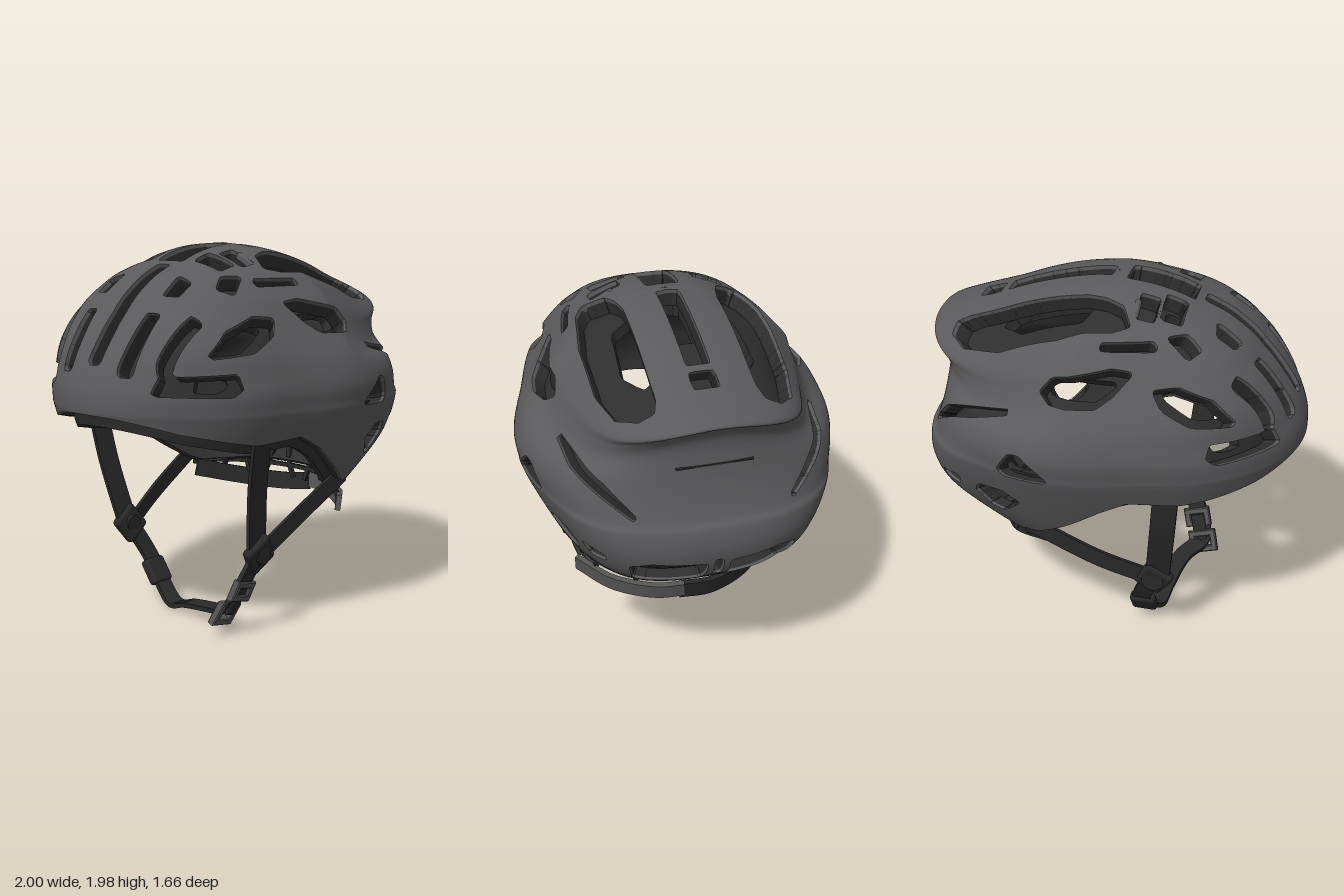
import * as THREE from 'three';
import { mergeVertices } from 'three/addons/utils/BufferGeometryUtils.js';
import { RoundedBoxGeometry } from 'three/addons/geometries/RoundedBoxGeometry.js';

const V = (x, y, z) => new THREE.Vector3(x, y, z);
const CENTRE = V(0.05, 1, 0);

// Horizontal contours from crown to rim: height, front x, back x, half width, middle x
const ROWS = [
  [2.0, 0, 0, 0, 0], [1.985, -0.17, 0.13, 0.17, 0], [1.95, -0.32, 0.3, 0.28, 0.02],
  [1.9, -0.44, 0.47, 0.39, 0.05], [1.84, -0.57, 0.63, 0.5, 0.08], [1.77, -0.67, 0.86, 0.57, 0.1],
  [1.725, -0.72, 0.96, 0.61, 0.1], [1.68, -0.76, 0.91, 0.64, 0.1], [1.6, -0.83, 0.87, 0.69, 0.1],
  [1.45, -0.935, 0.88, 0.79, 0.1], [1.32, -0.99, 0.91, 0.83, 0.1], [1.22, -1.0, 0.95, 0.82, 0.1],
  [1.17, -0.99, 0.985, 0.81, 0.1], [1.05, -0.96, 1.0, 0.76, 0.1], [0.92, -0.9, 0.96, 0.7, 0.1],
  [0.8, -0.82, 0.84, 0.64, 0.1], [0.66, -0.74, 0.66, 0.55, 0.1],
];
// Lower edge of the shell along x
const RIM = [[-1.1, 1.22], [-0.98, 1.19], [-0.8, 1.12], [-0.6, 1.07], [-0.45, 1.04], [-0.2, 1.06],
  [-0.05, 0.98], [0.1, 0.87], [0.3, 0.74], [0.4, 0.71], [0.75, 0.74], [1.1, 0.74]];

const rect = (a, b, c, d) => [[a, c], [b, c], [b, d], [a, d]];
// Vents drawn from the side (x, y)
const REAR_SIDE = [
  [[0.19, 1.2], [0.32, 1.31], [0.37, 1.3], [0.43, 1.21], [0.4, 1.19]],
  [[0.37, 0.98], [0.45, 1.03], [0.58, 1.02], [0.6, 0.98], [0.53, 0.89], [0.47, 0.88]],
];
const SIDE = [
  ...REAR_SIDE,
  [[-0.88, 1.32], [-0.85, 1.38], [-0.6, 1.39], [-0.59, 1.34], [-0.63, 1.31]],
  [[-0.68, 1.49], [-0.58, 1.59], [-0.42, 1.65], [-0.32, 1.64], [-0.36, 1.58], [-0.5, 1.51]],
  [[-0.18, 1.71], [-0.1, 1.72], [0.18, 1.66], [0.23, 1.6], [0.19, 1.57], [-0.04, 1.58], [-0.11, 1.63]],
  [[0.72, 1.03], [0.81, 1.01], [0.8, 0.99], [0.73, 0.98]],
  [[-0.28, 1.81], [-0.27, 1.82], [-0.04, 1.815], [-0.04, 1.81]],
];
// Vents drawn from the top (x, |z|)
const TOP = [
  rect(-0.93, -0.46, -0.03, 0.03), rect(-0.39, -0.07, -0.075, 0.075), rect(0.04, 0.57, -0.045, 0.045),
  rect(0.64, 0.72, -0.05, 0.05), rect(-0.37, -0.29, 0.16, 0.31), rect(-0.24, -0.17, 0.21, 0.34),
  [[-0.93, 0.17], [-0.76, 0.19], [-0.75, 0.24], [-0.91, 0.23]],
  [[-0.65, 0.21], [-0.55, 0.2], [-0.56, 0.27], [-0.63, 0.27]],
  [[-0.85, 0.35], [-0.68, 0.4], [-0.67, 0.44], [-0.83, 0.39]],
  [[-0.48, 0.4], [-0.42, 0.37], [-0.35, 0.41], [-0.44, 0.45]],
  [[-0.08, 0.31], [-0.13, 0.4], [-0.06, 0.44], [0.2, 0.48], [0.5, 0.47], [0.7, 0.42], [0.78, 0.34],
    [0.78, 0.28], [0.72, 0.26], [0.1, 0.26], [0, 0.28]],
];
// Vents drawn from the back (|z|, y)
const BACK = [
  [[0.07, 0.98], [0.33, 1.0], [0.41, 0.97], [0.37, 0.83], [0.08, 0.85]],
  [[0.4, 1.25], [0.63, 1.42], [0.65, 1.47], [0.52, 1.38]],
  rect(-0.008, 0.008, 0.9, 1.0),
];
// Openings that go through the inner foam
const FOAM_SIDE = [
  ...REAR_SIDE,
  [[-0.69, 1.32], [-0.67, 1.38], [-0.6, 1.38], [-0.59, 1.34], [-0.63, 1.32]],
  [[-0.63, 1.49], [-0.55, 1.55], [-0.42, 1.61], [-0.35, 1.59], [-0.5, 1.5]],
  [[-0.1, 1.63], [0.1, 1.64], [0.21, 1.62], [0.19, 1.57], [-0.03, 1.575]],
];
const FOAM_TOP = [
  rect(0.03, 0.33, -0.05, 0.05), rect(-0.78, -0.68, -0.05, 0.05), rect(-0.35, -0.29, 0.17, 0.28),
  [[0.08, 0.2], [0.5, 0.2], [0.53, 0.25], [0.42, 0.32], [0.13, 0.3]],
];

// Signed distance to a polygon with rounded corners, positive inside
function inside(poly, x, y, round = 0.015) {
  let d = Infinity, within = false;
  poly.forEach(([bx, by], i) => {
    const [ax, ay] = poly[(i + poly.length - 1) % poly.length];
    const ex = bx - ax, ey = by - ay;
    const t = THREE.MathUtils.clamp(((x - ax) * ex + (y - ay) * ey) / (ex * ex + ey * ey), 0, 1);
    d = Math.min(d, Math.hypot(x - ax - ex * t, y - ay - ey * t));
    if ((ay > y) !== (by > y) && x < ax + (ex * (y - ay)) / ey) within = !within;
  });
  return (within ? d : -d) + round;
}
const deepest = (polys, x, y) => Math.max(...polys.map(p => inside(p, x, y)));

function rimHeight(x) {
  const i = Math.max(1, RIM.findIndex(r => r[0] >= x));
  const [a, b] = [RIM[i - 1], RIM[i]];
  return a[1] + ((b[1] - a[1]) * (x - a[0])) / (b[0] - a[0]);
}

function ventField(p, side, top, back) {
  const z = Math.abs(p.z);
  let f = -1;
  if (z > 0.25) f = Math.max(f, deepest(side, p.x, p.y));
  if (p.y > 1.3) f = Math.max(f, deepest(top, p.x, z));
  if (p.x > 0.4) f = Math.max(f, deepest(back, z, p.y));
  return f;
}

// Point on the helmet: s runs crown to rim, a runs around
function surfacePoint(s, a) {
  const u = s * (ROWS.length - 1), i = Math.min(Math.floor(u), ROWS.length - 2), t = u - i;
  const row = k => ROWS[THREE.MathUtils.clamp(k, 0, ROWS.length - 1)];
  const [y, front, back, w, mid] = ROWS[0].map((_, c) => {
    const [p0, p1, p2, p3] = [-1, 0, 1, 2].map(k => row(i + k)[c]);
    return p1 + 0.5 * t * (p2 - p0 + t * (2 * p0 - 5 * p1 + 4 * p2 - p3 + t * (3 * (p1 - p2) + p3 - p0)));
  });
  // the brow is round at the rim and blunter higher up
  const c = Math.cos(a), n = c > 0 ? 2.6 : 2 + 0.6 * THREE.MathUtils.smoothstep(y, 1.35, 1.65);
  const r = (Math.abs(c) ** n + Math.abs(Math.sin(a)) ** n) ** (-1 / n);
  // the rear wing edge drops towards the sides
  const drop = c > 0 ? 0.54 * c * (1 - c) * Math.exp(-(((y - 1.64) / 0.19) ** 2)) : 0;
  const x = mid + r * c * (c > 0 ? back - mid : mid - front);
  // flanks pull in ahead of and behind the widest point
  const waist = 1 - 0.05 * Math.exp(-(((Math.abs(x - 0.15) - 0.42) / 0.25) ** 2));
  return V(x, y - drop, w * r * Math.sin(a) * waist);
}
const shrink = (p, k) => p.clone().sub(CENTRE).multiplyScalar(k).add(CENTRE);

function toGeometry(points) {
  const g = new THREE.BufferGeometry();
  g.setAttribute('position', new THREE.Float32BufferAttribute(points.flatMap(p => [p.x, p.y, p.z]), 3));
  return g;
}
function smooth(points) {
  const g = mergeVertices(toGeometry(points), 1e-4);
  g.computeVertexNormals();
  return g;
}

// A thick skin trimmed where field > 0: outer face, inner face, and cut edges in two depths
function thickLayer(nu, nv, kOut, kLip, kIn, field) {
  const outer = [], inner = [], lip = [], edges = [], grid = [];
  for (let j = 0; j <= nv; j++) for (let i = 0; i < nu; i++) {
    const p = surfacePoint(j / nv, (i / nu) * Math.PI * 2);
    grid.push({ p, f: field(p) });
  }
  const wall = (list, cut, k0, k1) => {
    const [a, b] = cut.map(p => shrink(p, k0)), [c, d] = cut.map(p => shrink(p, k1));
    list.push(a, b, d, a, d, c);
  };
  const triangle = (...tri) => {
    const kept = [], cut = [];
    tri.forEach((A, e) => {
      const B = tri[(e + 1) % 3];
      if (A.f < 0) kept.push(A.p);
      if ((A.f < 0) !== (B.f < 0)) {
        const m = A.p.clone().lerp(B.p, A.f / (A.f - B.f));
        kept.push(m);
        cut.push(m);
      }
    });
    for (let k = 2; k < kept.length; k++) {
      const t = [kept[0], kept[k - 1], kept[k]];
      outer.push(...t.map(p => shrink(p, kOut)));
      inner.push(...t.reverse().map(p => shrink(p, kIn)));
    }
    if (cut.length === 2) {
      wall(lip, cut, kOut, kLip);
      wall(edges, cut, kLip, kIn);
    }
  };
  for (let j = 0; j < nv; j++) for (let i = 0; i < nu; i++) {
    const k = (i + 1) % nu, a = grid[j * nu + i], b = grid[j * nu + k];
    const c = grid[(j + 1) * nu + i], d = grid[(j + 1) * nu + k];
    if (j > 0) triangle(a, b, c);
    triangle(b, d, c);
  }
  return [outer, lip, inner, edges].map(smooth);
}

// Flat strap along a curve, its width lying along the hint direction
function strapGeometry(points, hint, width, thick = 0.02, steps = 32) {
  const curve = new THREE.CatmullRomCurve3(points.map(p => V(...p)));
  const rings = [], out = [];
  for (let i = 0; i <= steps; i++) {
    const c = curve.getPoint(i / steps), t = curve.getTangent(i / steps);
    const w = hint.clone().addScaledVector(t, -hint.dot(t)).normalize(), n = t.clone().cross(w);
    rings.push([[1, 1], [-1, 1], [-1, -1], [1, -1]].map(([a, b]) =>
      c.clone().addScaledVector(w, (a * width) / 2).addScaledVector(n, (b * thick) / 2)));
  }
  for (let i = 0; i < steps; i++) for (let k = 0; k < 4; k++) {
    const l = (k + 1) % 4, [a, b, c, d] = [rings[i][k], rings[i][l], rings[i + 1][k], rings[i + 1][l]];
    out.push(a, b, c, b, d, c);
  }
  for (const r of [rings[0], rings[steps]]) out.push(r[0], r[1], r[2], r[0], r[2], r[3]);
  const g = toGeometry(out);
  g.computeVertexNormals();
  return g;
}

export function createModel() {
  const group = new THREE.Group();
  const material = (name, color) => {
    const m = new THREE.MeshStandardMaterial({ color, side: THREE.DoubleSide });
    m.name = name;
    return m;
  };
  const grey = material('shell grey', 0x5a5a5c), foam = material('foam black', 0x2e2e2f);
  const web = material('strap black', 0x292929), plastic = material('buckle grey', 0x555556);
  const add = (name, geometry, mat, pos = [0, 0, 0], rot = [0, 0, 0]) => {
    const m = new THREE.Mesh(geometry, mat);
    m.name = name;
    m.position.set(...pos);
    m.rotation.set(...rot);
    group.add(m);
  };

  // Vented outer shell and the foam liner under it
  const shell = thickLayer(220, 112, 1, 0.98, 0.91, p =>
    Math.max(rimHeight(p.x) - p.y, ventField(p, SIDE, TOP, BACK)));
  ['shell', 'shellLip', 'shellInside', 'ventEdges'].forEach((name, i) => add(name, shell[i], i < 2 ? grey : foam));
  const liner = thickLayer(110, 64, 0.91, 0.88, 0.85, p =>
    Math.max(rimHeight(p.x) - 0.06 - p.y, ventField(shrink(p, 0.91), FOAM_SIDE, FOAM_TOP, [])));
  ['liner', 'linerLip', 'linerInside', 'linerEdges'].forEach((name, i) => add(name, liner[i], foam));
  add('rearGroove', new THREE.BoxGeometry(0.016, 0.008, 0.38), foam, [0.872, 1.48, 0]);

  // Side straps, joining clips and crown clips; the right side hangs closer in
  for (const s of [1, -1]) {
    const z = s > 0 ? 0.5 : -0.44;
    add('frontStrap', strapGeometry([[-0.38, 1.12, s * 0.6], [-0.35, 0.8, s * 0.54], [-0.31, 0.45, z]],
      V(1, 0, 0), 0.13), web);
    add('rearStrap', strapGeometry([[0.36, 0.76, s * 0.55], [0, 0.57, s * 0.51], [-0.27, 0.44, z]],
      V(0, 1, 0), 0.09), web);
    add('strapClip', new RoundedBoxGeometry(0.17, 0.17, 0.06, 2, 0.025), web, [-0.29, 0.44, z], [s * 0.25, 0, 0.6]);
    add('clipCap', new THREE.CylinderGeometry(0.05, 0.06, 0.08, 16), web, [-0.29, 0.44, z], [Math.PI / 2, 0, 0]);
    add('crownClip', new RoundedBoxGeometry(0.03, 0.04, 0.22, 2, 0.012), grey, [-0.15, 1.89, s * 0.33], [s * 0.5, 0, 0]);
  }

  // Chin strap running from the left clip under the chin to the right clip
  add('chinStrap', strapGeometry([[-0.31, 0.42, 0.5], [-0.38, 0.28, 0.46], [-0.41, 0.15, 0.39], [-0.32, 0.1, 0.25],
    [-0.27, 0.06, 0], [-0.25, 0.03, -0.13], [-0.21, 0.12, -0.27], [-0.21, 0.25, -0.36], [-0.28, 0.43, -0.44]],
    V(1, 0, 0), 0.1, 0.025, 60), web);
  add('strapSlider', new RoundedBoxGeometry(0.14, 0.15, 0.06, 2, 0.02), web, [-0.21, 0.17, -0.31], [-0.6, 0, 0]);

  // Open buckle frames
  const frame = (w, h) => {
    const box = (path, a, b) => path.moveTo(-a, -b).lineTo(a, -b).lineTo(a, b).lineTo(-a, b).closePath();
    const shape = box(new THREE.Shape(), w / 2, h / 2);
    shape.holes.push(box(new THREE.Path(), w / 2 - 0.025, h / 2 - 0.025));
    return new THREE.ExtrudeGeometry(shape, { depth: 0.03, bevelSize: 0.006, bevelThickness: 0.006, bevelSegments: 1 });
  };
  add('buckleUpper', frame(0.14, 0.1), plastic, [-0.37, 0.26, 0.44], [0.3, 0, -0.25]);
  add('buckleLower', frame(0.15, 0.12), plastic, [-0.42, 0.14, 0.37], [0.4, 0, -0.25]);
  add('buckleTongue', new RoundedBoxGeometry(0.08, 0.16, 0.05, 2, 0.015), web, [-0.39, 0.2, 0.42], [0.4, 0, -0.25]);

  // Rear fit cradle: band, upper rail and struts
  add('cradleBandLeft', strapGeometry([[0.3, 0.61, 0.57], [0.5, 0.59, 0.42], [0.64, 0.6, 0.22], [0.67, 0.61, 0.08]],
    V(0.2, 1, 0), 0.085, 0.03), plastic);
  add('cradleBandRight', strapGeometry([[0.66, 0.6, 0.1], [0.64, 0.58, -0.08], [0.52, 0.6, -0.32], [0.3, 0.66, -0.47]],
    V(0.2, 1, 0), 0.1, 0.03), web);
  const rail = a => [0.28 + 0.32 * Math.cos(a), 0.69, 0.5 * Math.sin(a)];
  add('cradleRail', strapGeometry([-1.5, -0.9, -0.4, 0, 0.4, 0.9, 1.5].map(rail), V(0, 1, 0), 0.025, 0.02), web);
  for (let i = -4; i <= 4; i++) {
    const [x, y, z] = rail(i * 0.3), lean = i % 2 ? 0.03 : -0.03;
    add('cradleStrut', strapGeometry([[x, y - 0.07, z - lean], [x, y, z], [x + 0.03, y + 0.12, z + lean]],
      V(0, 0, 1), 0.025, 0.02, 6), web);
  }
  return group;
}
